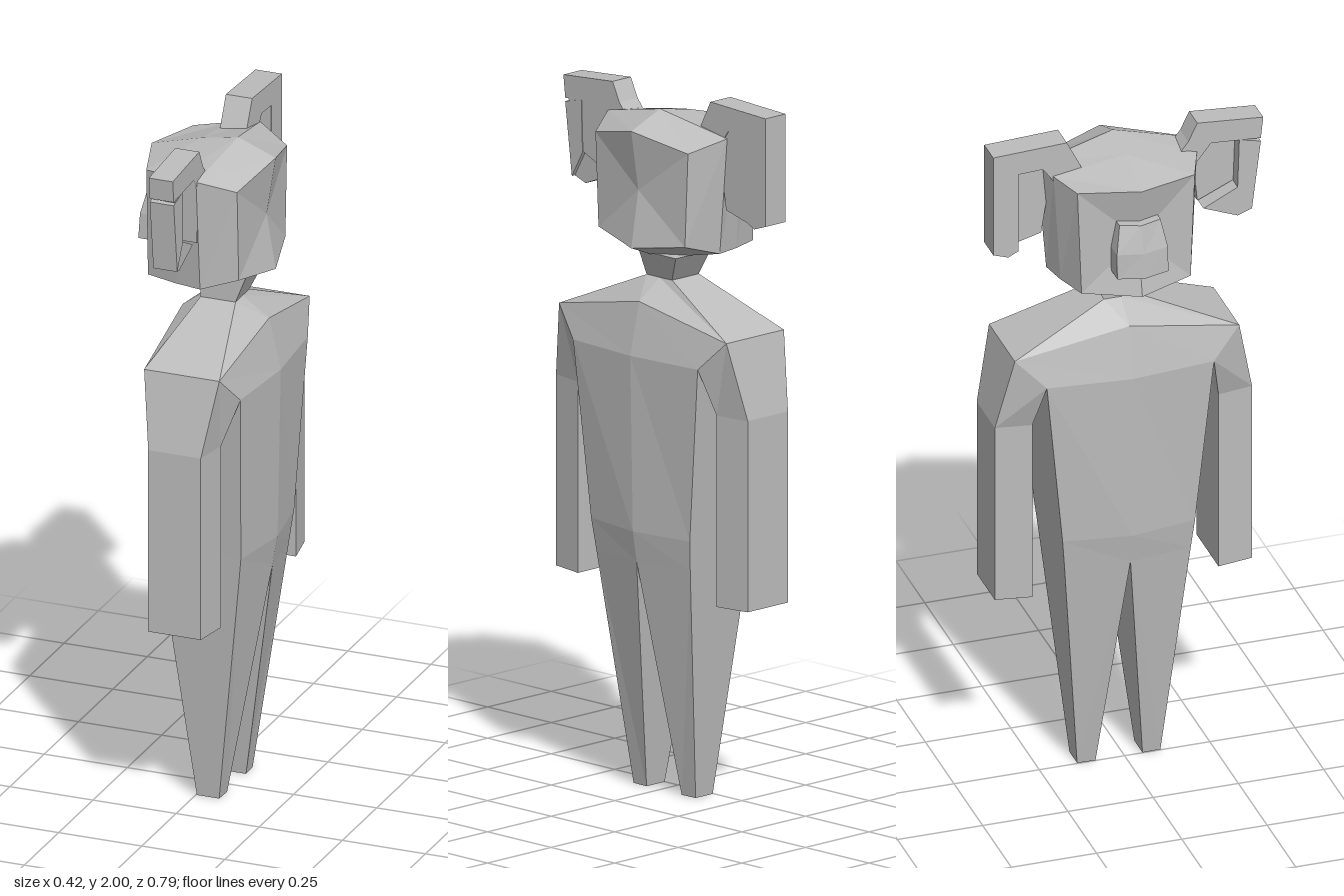
import * as THREE from 'three';

const skin = new THREE.MeshStandardMaterial({ color: 0xbcbcbc, flatShading: true });
skin.name = 'plain grey';

// Skin a closed, faceted solid over rings of [x, y, z] points
function loft(name, rings) {
  const tris = [];
  const n = rings[0].length;
  for (let r = 0; r < rings.length - 1; r++) {
    for (let i = 0; i < n; i++) {
      const j = (i + 1) % n;
      const a = rings[r][i], b = rings[r][j], c = rings[r + 1][j], d = rings[r + 1][i];
      tris.push([a, b, c], [a, c, d]);
    }
  }
  const first = rings[0], last = rings[rings.length - 1];
  const centre = (ring) => [0, 1, 2].map((k) => ring.reduce((s, p) => s + p[k], 0) / n);
  const c0 = centre(first), c1 = centre(last);
  for (let i = 0; i < n; i++) {
    const j = (i + 1) % n;
    tris.push([c0, first[j], first[i]], [c1, last[i], last[j]]);
  }
  // Turn the faces outward if the rings ran the other way
  let volume = 0;
  for (const [a, b, c] of tris) {
    volume += new THREE.Vector3(...a).dot(new THREE.Vector3(...b).cross(new THREE.Vector3(...c)));
  }
  if (volume < 0) tris.forEach((t) => t.reverse());
  const geo = new THREE.BufferGeometry();
  geo.setAttribute('position', new THREE.Float32BufferAttribute(tris.flat(2), 3));
  geo.computeVertexNormals();
  const mesh = new THREE.Mesh(geo, skin);
  mesh.name = name;
  return mesh;
}

// Flat plate drawn in the z-y plane, spanning x0 to x1
function plate(name, points, x0, x1) {
  return loft(name, [x0, x1].map((x) => points.map(([z, y]) => [x, y, z])));
}

// Torso ring: creased centre line, narrower sides
function bodyRing(yc, ys, back, front, sideBack, sideFront, z) {
  return [
    [front, yc, 0], [sideFront, ys, z], [sideBack, ys, z],
    [back, yc, 0], [sideBack, ys, -z], [sideFront, ys, -z],
  ];
}

function createBody() {
  const body = new THREE.Group();
  body.name = 'body';
  body.position.z = -0.016;

  body.add(loft('torso', [
    bodyRing(0.675, 0.675, -0.1, 0.18, -0.075, 0.154, 0.185),
    bodyRing(0.765, 0.765, -0.115, 0.195, -0.085, 0.165, 0.194),
    bodyRing(1.27, 1.27, -0.125, 0.205, -0.1, 0.185, 0.245),
    bodyRing(1.42, 1.355, -0.09, 0.17, -0.07, 0.156, 0.329),
    bodyRing(1.475, 1.475, -0.015, 0.09, -0.015, 0.09, 0.05),
  ]));

  for (const s of [1, -1]) {
    const side = s > 0 ? 'left' : 'right';
    // Arm: shoulder, elbow bend, open hand end
    body.add(loft(side + 'Arm', [
      [[-0.07, 1.355, s * 0.329], [0.156, 1.355, s * 0.329], [0.185, 1.27, s * 0.245], [-0.1, 1.27, s * 0.245]],
      ...[1.135, 0.587].map((y) => [
        [-0.038, y, s * 0.377], [0.12, y, s * 0.377], [0.138, y, s * 0.273], [-0.055, y, s * 0.273],
      ]),
    ]));
    // Leg tapering to a small foot
    body.add(loft(side + 'Leg', [
      [[-0.075, 0.675, s * 0.185], [0.154, 0.675, s * 0.185], [0.18, 0.675, 0], [-0.1, 0.675, 0]],
      [[0.003, 0, s * 0.122], [0.07, 0, s * 0.122], [0.072, 0, s * 0.069], [0.001, 0, s * 0.069]],
    ]));
  }
  return body;
}

function createHead() {
  const head = new THREE.Group();
  head.name = 'head';

  // Skull: rings along x, [centre x, side x, top, side top, side bottom, bottom, top z, bottom z]
  const skull = [
    [0.193, 0.152, 1.91, 1.87, 1.6, 1.575, 0.182, 0.17],
    [0.08, 0.05, 1.955, 1.905, 1.57, 1.53, 0.234, 0.205],
    [-0.03, -0.03, 1.935, 1.9, 1.57, 1.53, 0.21, 0.19],
    [-0.18, -0.125, 1.895, 1.89, 1.57, 1.56, 0.172, 0.16],
  ];
  head.add(loft('skull', skull.map(([xc, xs, t, ts, bs, b, zt, zb]) => [
    [xc, t, -0.008], [xs, ts, zt - 0.008], [xs, bs, zb - 0.008],
    [xc, b, -0.008], [xs, bs, -zb - 0.008], [xs, ts, -zt - 0.008],
  ])));

  // Creased snout, deeper toward the bottom
  head.add(loft('snout', [
    [[-0.12, 1.79, 0.05], [-0.165, 1.79, 0.05], [-0.185, 1.79, -0.012], [-0.165, 1.79, -0.07], [-0.12, 1.79, -0.07]],
    [[-0.12, 1.71, 0.065], [-0.185, 1.71, 0.065], [-0.205, 1.71, -0.012], [-0.188, 1.71, -0.085], [-0.12, 1.71, -0.085]],
    [[-0.12, 1.635, 0.065], [-0.19, 1.635, 0.065], [-0.212, 1.635, -0.012], [-0.19, 1.635, -0.085], [-0.12, 1.635, -0.085]],
  ]));

  // Hooked side horns: stem, outer bar and a web that leaves a recess behind
  head.add(
    plate('leftHornStem', [[0.12, 1.86], [0.18, 1.935], [0.207, 1.99], [0.4, 1.975], [0.393, 1.91], [0.24, 1.92], [0.2, 1.86]], -0.02, 0.052),
    plate('leftHornBar', [[0.4, 1.975], [0.393, 1.9], [0.367, 1.69], [0.325, 1.765], [0.335, 1.975]].slice(1, 4).concat([[0.33, 1.915]]), -0.02, 0.052),
    plate('leftHornWeb', [[0.39, 1.93], [0.33, 1.77], [0.22, 1.72], [0.2, 1.93]], 0.02, 0.05),
    plate('leftHornTip', [[0.367, 1.69], [0.325, 1.675], [0.225, 1.715], [0.325, 1.765]], -0.02, 0.04),
    plate('rightHornStem', [[-0.11, 1.86], [-0.145, 1.935], [-0.178, 2], [-0.394, 1.99], [-0.394, 1.92], [-0.25, 1.93], [-0.2, 1.86]], -0.027, 0.052),
    plate('rightHornBar', [[-0.394, 1.94], [-0.394, 1.68], [-0.35, 1.665], [-0.32, 1.68], [-0.32, 1.94]], -0.027, 0.052),
    plate('rightHornWeb', [[-0.39, 1.94], [-0.35, 1.67], [-0.238, 1.70], [-0.2, 1.94]], 0.02, 0.05),
  );

  // Neck, flaring at one corner under the jaw
  head.add(loft('neck', [
    [[-0.015, 1.46, 0.035], [0.09, 1.46, 0.035], [0.09, 1.46, -0.065], [-0.015, 1.46, -0.065]],
    [[-0.015, 1.475, 0.035], [0.09, 1.475, 0.035], [0.09, 1.475, -0.065], [-0.015, 1.475, -0.065]],
    [[-0.015, 1.55, 0.035], [0.12, 1.55, 0.035], [0.12, 1.55, -0.11], [-0.015, 1.55, -0.11]],
  ]));
  return head;
}

export function createModel() {
  const model = new THREE.Group();
  model.name = 'hornedFigure';
  model.add(createBody(), createHead());
  return model;
}
